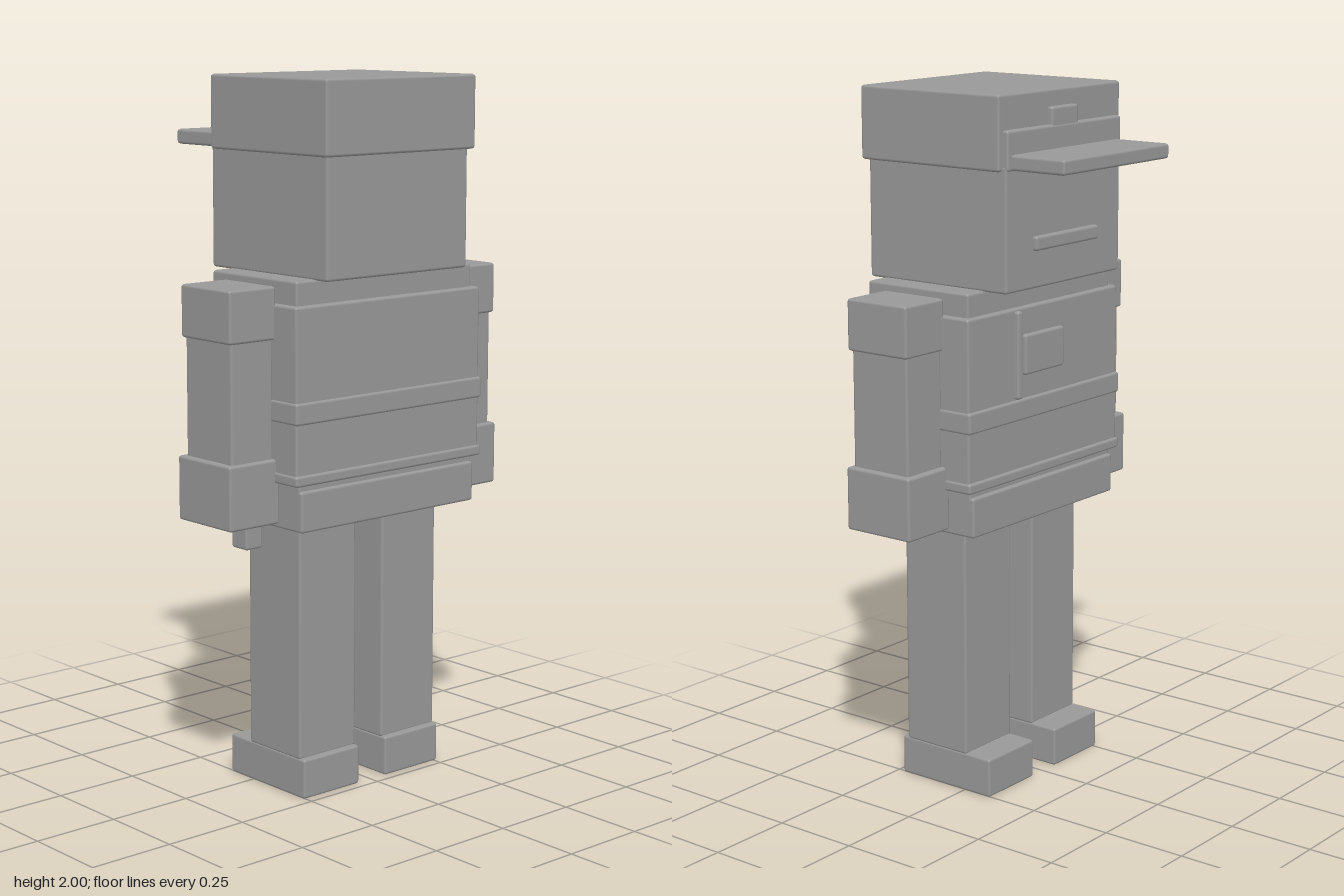
import * as THREE from 'three';
import { RoundedBoxGeometry } from 'three/addons/geometries/RoundedBoxGeometry.js';

const grey = new THREE.MeshStandardMaterial({ color: 0x999999 });
grey.name = 'plainGrey';

// Softly bevelled box given by its extents on each axis
function block(parent, name, [x0, x1], [y0, y1], [z0, z1], bevel = 0.008) {
  const w = x1 - x0, h = y1 - y0, d = z1 - z0;
  const r = Math.min(bevel, Math.min(w, h, d) * 0.35);
  const mesh = new THREE.Mesh(new RoundedBoxGeometry(w, h, d, 1, r), grey);
  mesh.position.set((x0 + x1) / 2, (y0 + y1) / 2, (z0 + z1) / 2);
  mesh.name = name;
  parent.add(mesh);
  return mesh;
}

// Box centred on x = 0
const centred = (parent, name, half, y, z, bevel) => block(parent, name, [-half, half], y, z, bevel);

function group(parent, name) {
  const g = new THREE.Group();
  g.name = name;
  parent.add(g);
  return g;
}

export function createModel() {
  const model = new THREE.Group();
  model.name = 'blockFigure';

  // Head and peaked cap; the face looks towards -z
  const head = group(model, 'head');
  centred(head, 'skull', 0.26, [1.465, 1.81], [-0.16, 0.325]);
  centred(head, 'mouth', 0.143, [1.57, 1.61], [-0.175, -0.15]);
  const cap = group(head, 'cap');
  centred(cap, 'crown', 0.275, [1.795, 2], [-0.147, 0.34]);
  centred(cap, 'capBand', 0.258, [1.795, 1.905], [-0.165, -0.135]);
  centred(cap, 'brim', 0.243, [1.798, 1.84], [-0.34, -0.15]);
  centred(cap, 'capBadge', 0.06, [1.89, 1.953], [-0.163, -0.14]);

  // Torso with collar, belts and hips
  const torso = group(model, 'torso');
  centred(torso, 'collar', 0.325, [1.39, 1.468], [-0.08, 0.277]);
  centred(torso, 'chest', 0.343, [0.915, 1.402], [-0.095, 0.296]);
  centred(torso, 'upperBelt', 0.348, [1.083, 1.144], [-0.103, 0.303]);
  centred(torso, 'lowerBelt', 0.348, [0.915, 0.946], [-0.103, 0.303]);
  centred(torso, 'waist', 0.325, [0.88, 0.93], [-0.085, 0.286]);
  centred(torso, 'hips', 0.325, [0.785, 0.9], [-0.096, 0.296]);
  block(torso, 'chestStrip', [0.118, 0.142], [1.146, 1.395], [-0.11, -0.085]);
  block(torso, 'chestPocket', [-0.073, 0.105], [1.21, 1.325], [-0.108, -0.085]);

  // Mirrored arms and legs
  for (const [side, s] of [['left', 1], ['right', -1]]) {
    const span = (a, b) => (s > 0 ? [a, b] : [-b, -a]);
    const arm = group(model, side + 'Arm');
    block(arm, 'shoulder', span(0.335, 0.495), [1.305, 1.45], [-0.005, 0.205]);
    block(arm, 'sleeve', span(0.34, 0.485), [0.97, 1.315], [0.002, 0.197]);
    block(arm, 'hand', span(0.328, 0.502), [0.8, 0.98], [-0.015, 0.21]);
    const leg = group(model, side + 'Leg');
    block(leg, 'trouser', span(0.05, 0.258), [0.11, 0.8], [-0.01, 0.21]);
    block(leg, 'shoe', span(0.05, 0.258), [0, 0.115], [-0.095, 0.228]);
  }

  // Short stick held in the right hand
  block(model, 'stick', [-0.39, -0.33], [0.72, 0.86], [0.075, 0.14]);

  return model;
}
